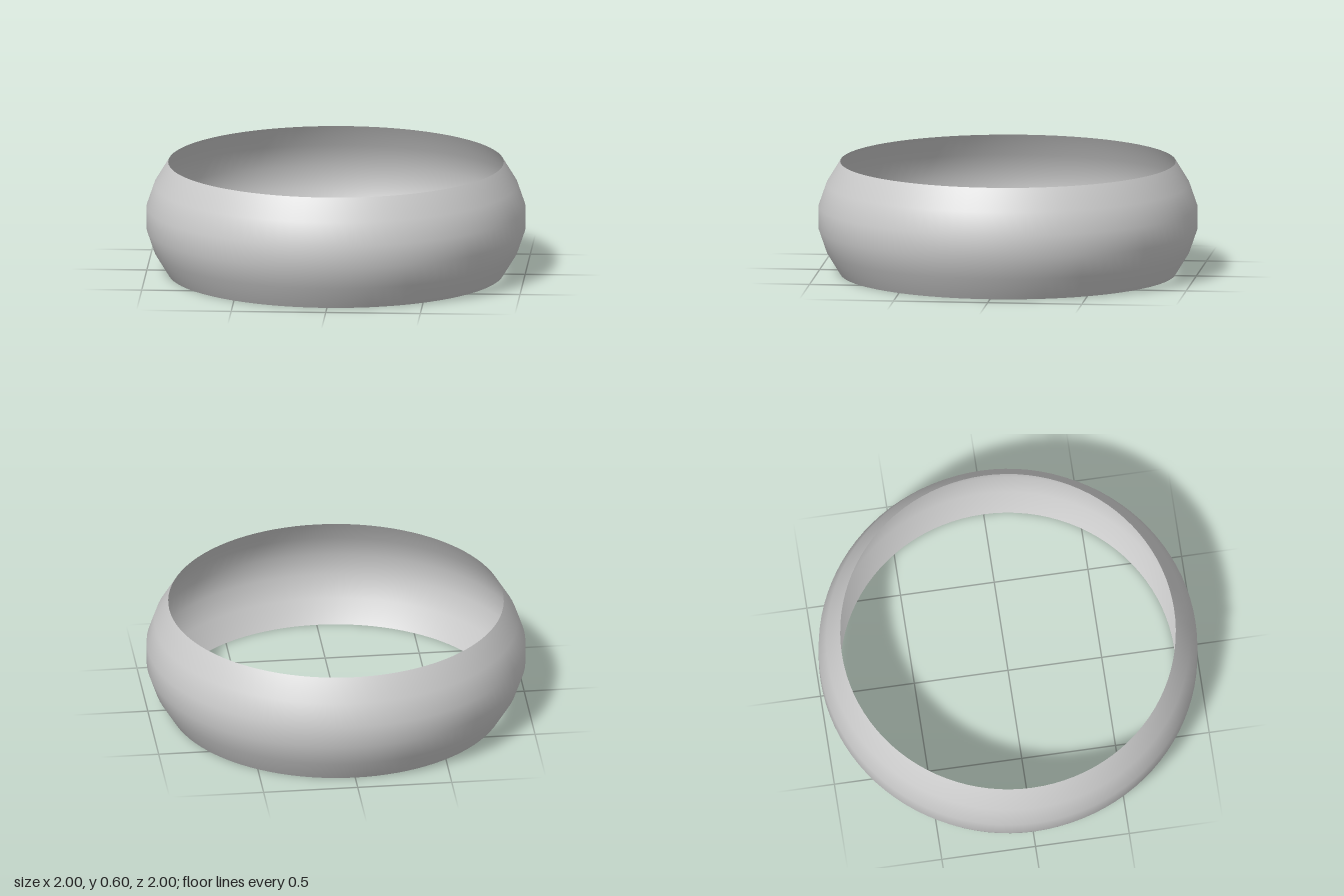
import * as THREE from 'three';

export function createModel() {
  const group = new THREE.Group();
  group.name = 'ring';

  // Half of the bulging band profile (radius, distance from mid height), mirrored about the middle
  const mid = 0.298;
  const half = [[0.886, 0.298], [0.959, 0.179], [1.0, 0.06]];
  const profile = [
    ...half.map(([r, d]) => new THREE.Vector2(r, mid - d)),
    ...half.slice().reverse().map(([r, d]) => new THREE.Vector2(r, mid + d)),
  ];

  // Thin open band, smooth all round
  const band = new THREE.Mesh(
    new THREE.LatheGeometry(profile, 96),
    new THREE.MeshStandardMaterial({ color: 0xcccccc, side: THREE.DoubleSide })
  );
  band.name = 'band';
  group.add(band);
  return group;
}
